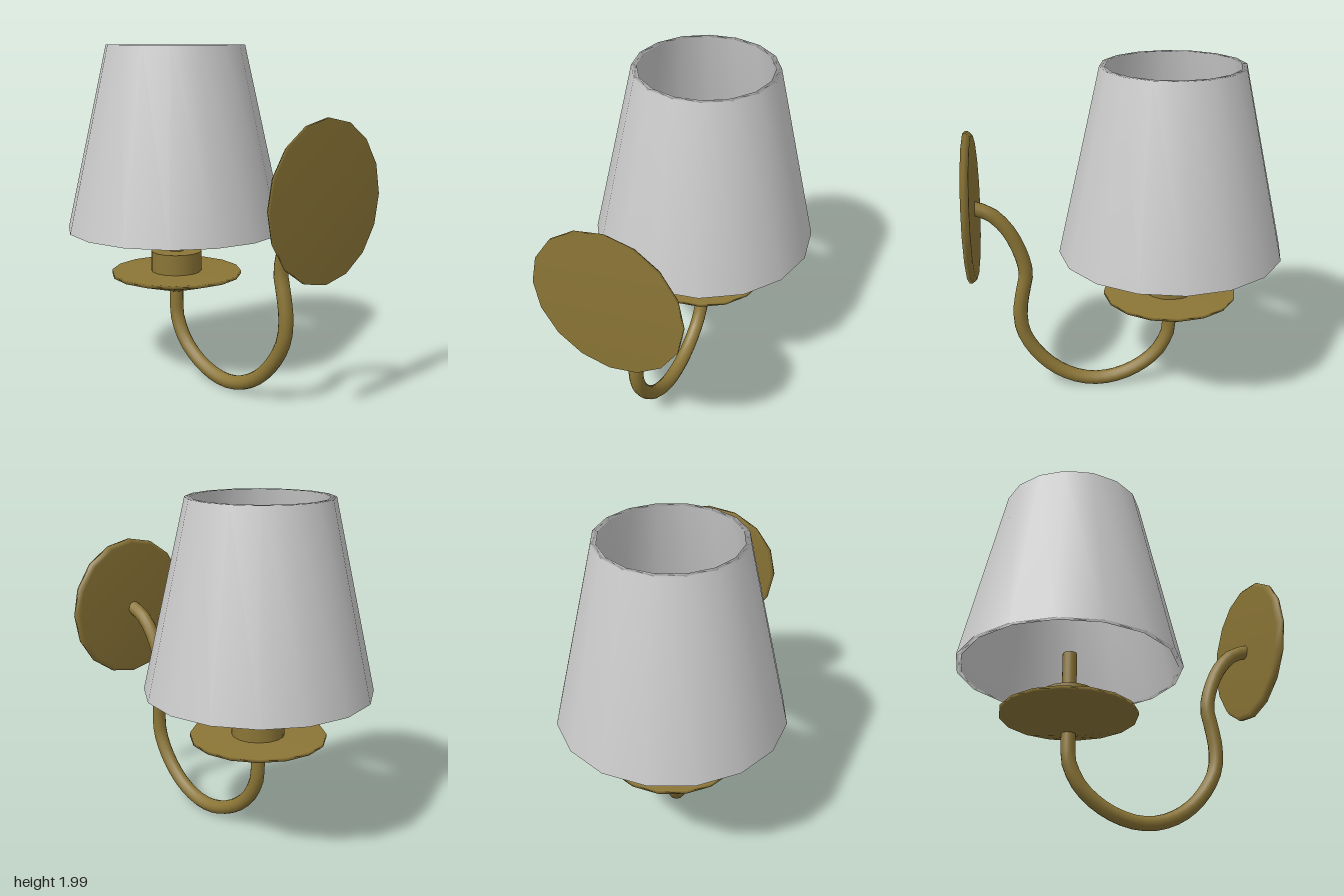
import * as THREE from 'three';

const SIDES = 16;
const AXIS_Z = -0.256; // vertical axis shared by shade, dish and candle

export function createModel() {
  const model = new THREE.Group();
  const brass = new THREE.MeshStandardMaterial({ color: 0x8b7536 });
  const fabric = new THREE.MeshStandardMaterial({ color: 0xcccccc, side: THREE.DoubleSide });

  const add = (name, geometry, material, x = 0, y = 0, z = 0) => {
    const mesh = new THREE.Mesh(geometry, material);
    mesh.name = name;
    mesh.position.set(x, y, z);
    model.add(mesh);
    return mesh;
  };
  // Profile of [radius, height] pairs, listed bottom to top on the outside
  const turned = (points) =>
    new THREE.LatheGeometry(points.map(([r, y]) => new THREE.Vector2(r, y)), SIDES);

  // Tapered shade: a thin closed shell, open at both ends
  add('shade', turned([
    [0.503, 1.455], [0.625, 0.91], [0.655, 0.91],
    [0.41, 2], [0.38, 2], [0.503, 1.455],
  ]), fabric, 0, 0, AXIS_Z);

  // Shallow conical drip dish
  add('dish', turned([
    [0, 0.51], [0.04, 0.515], [0.395, 0.622], [0.395, 0.642], [0, 0.642],
  ]), brass, 0, 0, AXIS_Z);

  // Socket cup and the candle stem standing in it
  add('cup', new THREE.CylinderGeometry(0.153, 0.153, 0.125, SIDES), brass, 0, 0.7025, AXIS_Z);
  add('candle', new THREE.CylinderGeometry(0.042, 0.042, 0.26, SIDES), brass, 0, 0.88, AXIS_Z);

  // Round mounting plate, bevelled on the side that holds the arm
  const plate = add('mountingPlate', turned([
    [0, 0], [0.412, 0], [0.435, 0.025], [0.435, 0.043], [0, 0.043],
  ]), brass, 0, 1.205, 0.872);
  plate.rotation.x = Math.PI / 2;

  // Curved arm from the plate down and around to the dish, as [z, y]
  const path = [
    [0.89, 1.2], [0.79, 1.16], [0.7, 1.065], [0.63, 0.92], [0.6, 0.78], [0.625, 0.65],
    [0.642, 0.53], [0.63, 0.4], [0.565, 0.27], [0.455, 0.15], [0.325, 0.075],
    [0.195, 0.048], [0.065, 0.065], [-0.07, 0.125], [-0.185, 0.225],
    [-0.25, 0.355], [AXIS_Z, 0.42], [AXIS_Z, 0.54],
  ].map(([z, y]) => new THREE.Vector3(0, y, z));
  add('arm', new THREE.TubeGeometry(new THREE.CatmullRomCurve3(path), 36, 0.042, 12), brass);

  return model;
}
